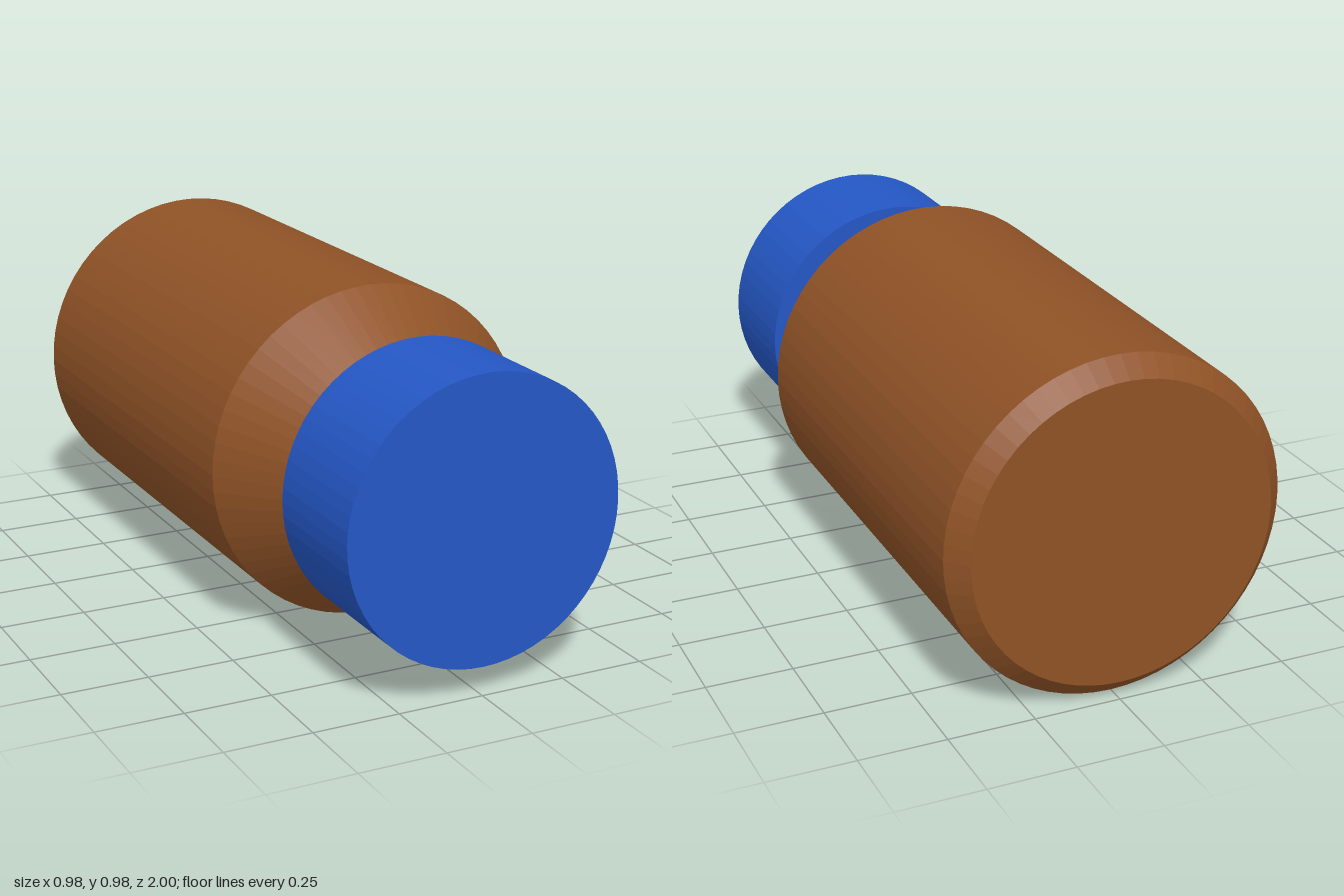
import * as THREE from 'three';

const SIDES = 64;
const AXIS_Y = 0.488;

// Faceted solid of revolution about the z axis, from [radius, z] pairs listed back to front
function turned(name, profile, material) {
  const points = profile.map(([r, z]) => new THREE.Vector2(r, z));
  const geometry = new THREE.LatheGeometry(points, SIDES).toNonIndexed();
  geometry.rotateX(Math.PI / 2);
  geometry.computeVertexNormals();
  const mesh = new THREE.Mesh(geometry, material);
  mesh.name = name;
  return mesh;
}

export function createModel() {
  const brown = new THREE.MeshStandardMaterial({ color: 0x8f5226 });
  brown.name = 'amber brown';
  const blue = new THREE.MeshStandardMaterial({ color: 0x2457c5 });
  blue.name = 'cap blue';

  const bottle = new THREE.Group();
  bottle.name = 'bottle';
  bottle.position.y = AXIS_Y;

  // Body with chamfered base, sloping shoulder and collar
  bottle.add(turned('body', [
    [0, -1], [0.435, -1], [0.488, -0.945], [0.488, 0.35],
    [0.35, 0.53], [0.35, 0.612], [0, 0.612],
  ], brown));

  // Narrow neck running up into the cap
  bottle.add(turned('neck', [[0, 0.6], [0.315, 0.6], [0.315, 0.7], [0, 0.7]], brown));

  // Screw cap
  bottle.add(turned('cap', [[0, 0.623], [0.405, 0.623], [0.405, 1], [0, 1]], blue));

  const model = new THREE.Group();
  model.name = 'pillBottle';
  model.add(bottle);
  return model;
}
